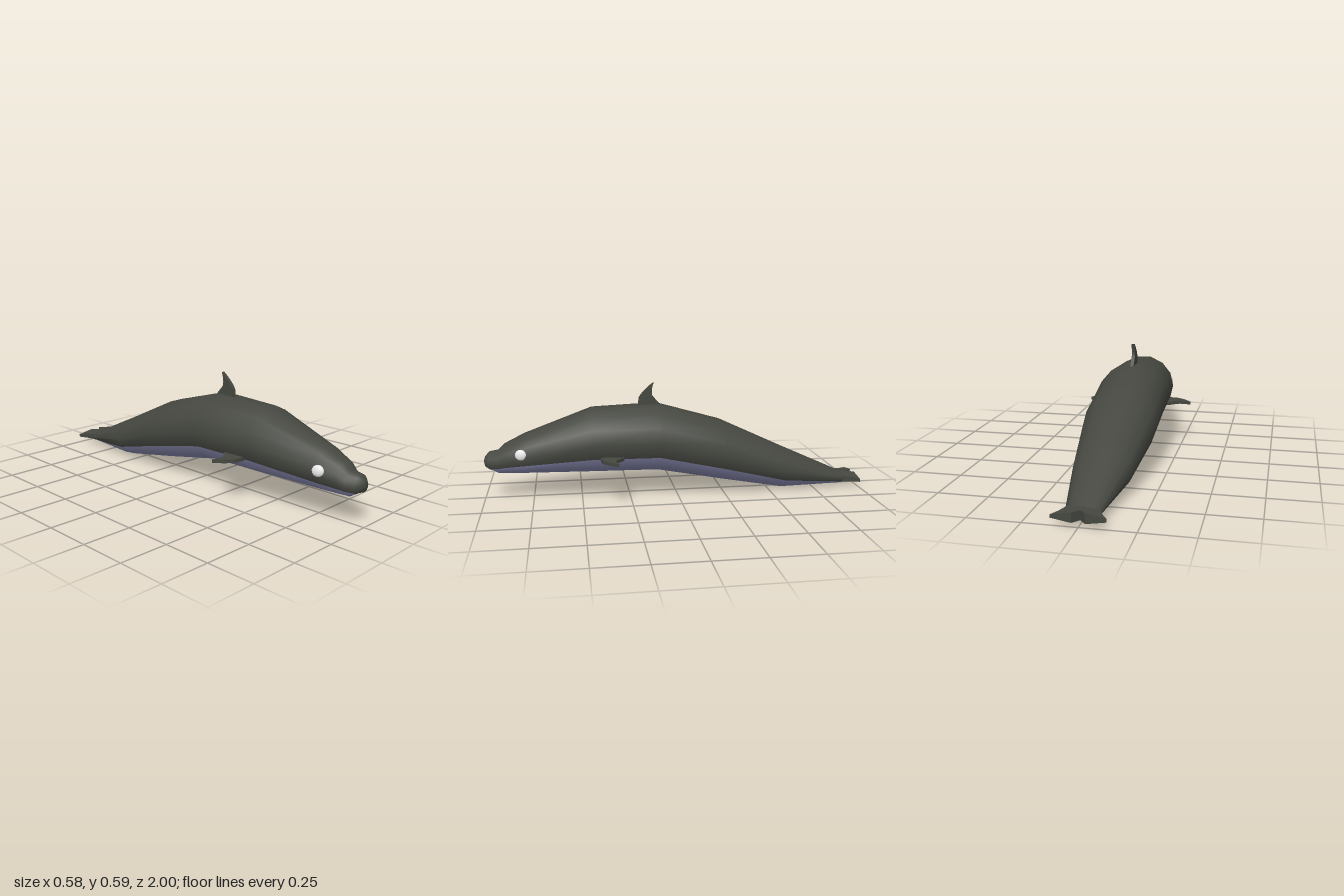
import * as THREE from 'three';

const skin = new THREE.MeshStandardMaterial({ color: 0x454740 });
skin.name = 'dark skin';
const belly = new THREE.MeshStandardMaterial({ color: 0x8686ac });
belly.name = 'pale belly';
const white = new THREE.MeshStandardMaterial({ color: 0xf0f0f0 });
white.name = 'eye white';

// Body stations from snout to tail: z, top y, bottom y, half width, chin floor y
const STATIONS = [
  [0.992, 0.225, 0.172, 0.028],
  [0.970, 0.249, 0.140, 0.053, 0.164],
  [0.925, 0.256, 0.136, 0.064],
  [0.890, 0.288, 0.136, 0.082],
  [0.790, 0.337, 0.135, 0.112],
  [0.440, 0.464, 0.133, 0.172],
  [0.100, 0.477, 0.130, 0.190],
  [-0.240, 0.380, 0.065, 0.187],
  [-0.580, 0.222, 0.002, 0.143],
  [-0.920, 0.069, 0.010, 0.080],
];
const SIDES = 14;

// Lofted body; the lowest strips of each ring form the belly, the snout tip stays dark
function bodyGeometry() {
  const pos = [];
  for (const [z, top, bottom, w, floor = bottom] of STATIONS) {
    const cy = (top + bottom) / 2;
    const r = (top - bottom) / 2 / Math.cos(Math.PI / SIDES);
    for (let j = 0; j < SIDES; j++) {
      const a = ((j + 0.5) / SIDES) * Math.PI * 2;
      pos.push(w * Math.sin(a), Math.max(floor, cy + r * Math.cos(a)), z);
    }
  }
  const nose = pos.length / 3;
  pos.push(0, 0.199, 1, 0, 0.04, -0.96);
  const faces = [[], []];
  const last = STATIONS.length - 1;
  for (let j = 0; j < SIDES; j++) {
    const k = (j + 1) % SIDES;
    const under = j >= 4 && j <= 8 ? 1 : 0;
    for (let i = 0; i < last; i++) {
      const a = i * SIDES + j, c = i * SIDES + k;
      faces[i > 0 ? under : 0].push(a, c, a + SIDES, c, c + SIDES, a + SIDES);
    }
    faces[0].push(nose, k, j);
    faces[under].push(nose + 1, last * SIDES + j, last * SIDES + k);
  }
  const geo = new THREE.BufferGeometry();
  geo.setAttribute('position', new THREE.Float32BufferAttribute(pos, 3));
  geo.setIndex([...faces[0], ...faces[1]]);
  geo.addGroup(0, faces[0].length, 0);
  geo.addGroup(faces[0].length, faces[1].length, 1);
  geo.computeVertexNormals();
  return geo;
}

function slab(shape, thickness) {
  const geo = new THREE.ExtrudeGeometry(shape, { depth: thickness, bevelEnabled: false, curveSegments: 5 });
  return geo.translate(0, 0, -thickness / 2);
}

// Swept-back fin standing on y = 0, its leading edge toward +z
function finGeometry() {
  const s = new THREE.Shape();
  s.moveTo(0.06, -0.03);
  s.lineTo(0.06, 0);
  s.lineTo(0.054, 0.04);
  s.quadraticCurveTo(0.03, 0.08, -0.024, 0.118);
  s.quadraticCurveTo(-0.006, 0.075, -0.017, 0.046);
  s.lineTo(-0.058, 0);
  s.lineTo(-0.058, -0.03);
  return slab(s, 0.018).rotateY(-Math.PI / 2);
}

// Notched tail plate, drawn as x and -z
function flukeGeometry() {
  const s = new THREE.Shape();
  s.moveTo(0, 0.9);
  s.lineTo(0.07, 0.9);
  s.lineTo(0.08, 0.93);
  s.quadraticCurveTo(0.09, 0.965, 0.122, 1);
  s.lineTo(0.03, 1);
  s.lineTo(0, 0.965);
  s.lineTo(-0.03, 1);
  s.lineTo(-0.122, 1);
  s.quadraticCurveTo(-0.09, 0.965, -0.08, 0.93);
  s.lineTo(-0.07, 0.9);
  const geo = slab(s, 0.046).rotateX(-Math.PI / 2);
  // Thin the plate toward its tips
  const p = geo.attributes.position;
  for (let i = 0; i < p.count; i++) {
    const t = Math.max(0, (Math.abs(p.getX(i)) - 0.03) / 0.092);
    p.setY(i, p.getY(i) * (1 - 0.65 * t));
  }
  geo.computeVertexNormals();
  return geo;
}

export function createModel() {
  const model = new THREE.Group();
  model.name = 'whale';
  const add = (name, geo, mat, x, y, z) => {
    const mesh = new THREE.Mesh(geo, mat);
    mesh.name = name;
    mesh.position.set(x, y, z);
    model.add(mesh);
    return mesh;
  };

  add('body', bodyGeometry(), [skin, belly], 0, 0, 0);
  add('dorsalFin', finGeometry(), skin, 0, 0.473, 0.138);
  add('tailFluke', flukeGeometry(), skin, 0, 0.043, 0);

  // Paired flippers and eyes
  for (const [side, label] of [[1, 'left'], [-1, 'right']]) {
    const flipper = add(label + 'Flipper', finGeometry(), skin, side * 0.172, 0.227, 0.345);
    flipper.rotation.z = -side * Math.PI / 2;
    const eye = add(label + 'Eye', new THREE.SphereGeometry(1, 12, 8), white, side * 0.1, 0.25, 0.805);
    eye.scale.set(0.014, 0.028, 0.031);
    eye.rotation.set(0, -side * 0.2, side * 0.2, 'YXZ');
  }
  return model;
}
